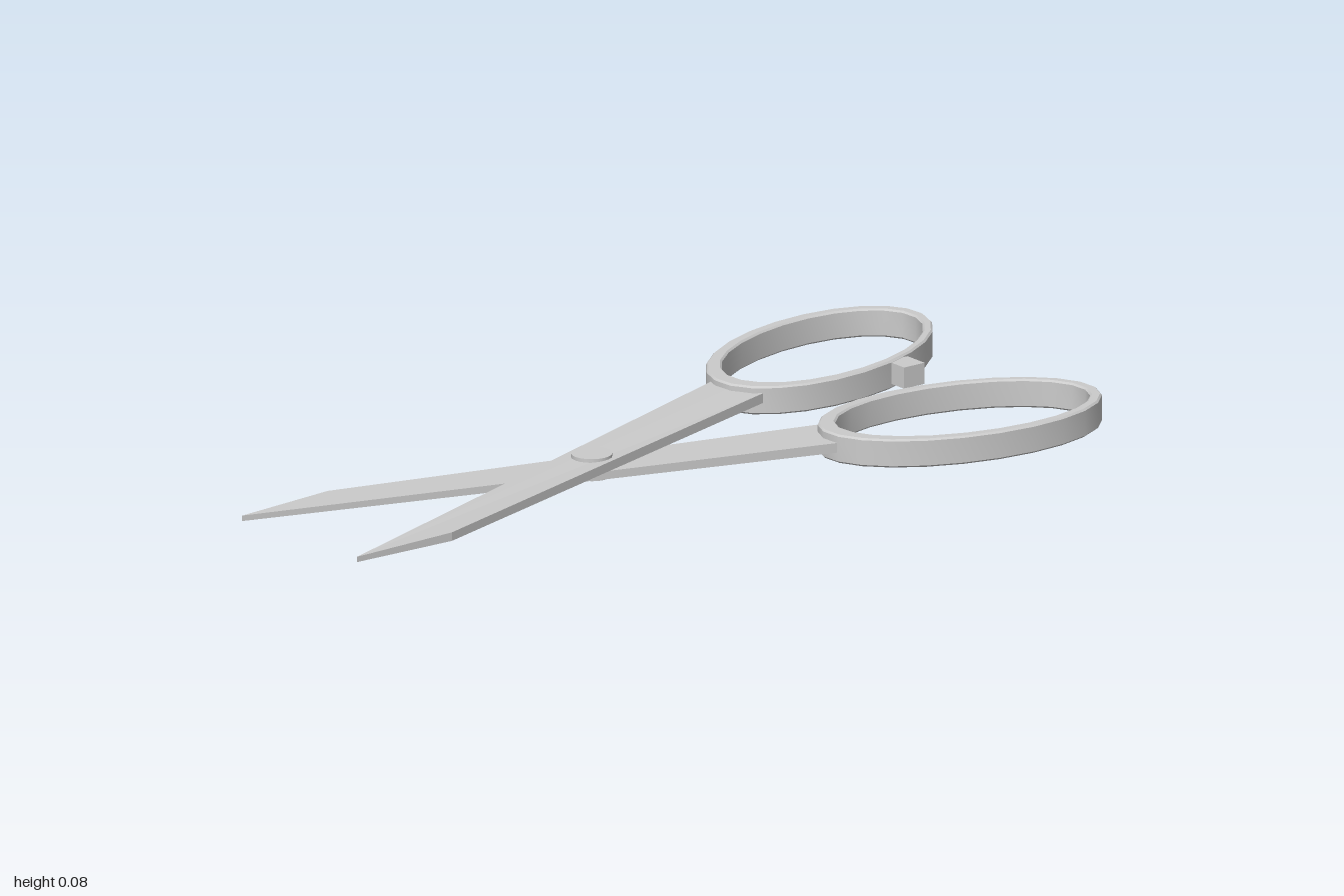
import * as THREE from 'three';
import { toCreasedNormals } from 'three/addons/utils/BufferGeometryUtils.js';

const material = new THREE.MeshStandardMaterial({ color: 0xcccccc });

function part(name, geometry) {
  const mesh = new THREE.Mesh(geometry, material);
  mesh.name = name;
  return mesh;
}

// points of a tilted ellipse; outlines are drawn in (x, -z) and laid flat afterwards
function ellipse(x, z, a, b, tilt, n = 24) {
  const c = new THREE.Vector2(x, -z);
  return Array.from({ length: n }, (_, i) => {
    const t = (i / n) * Math.PI * 2;
    return new THREE.Vector2(x + a * Math.cos(t), -z + b * Math.sin(t)).rotateAround(c, tilt);
  });
}

// finger ring: oval band with a fine chamfer on its rims
function ring(name, x, z, tilt, y0, y1) {
  const bevel = 0.004;
  const shape = new THREE.Shape(ellipse(x, z, 0.333, 0.188, tilt));
  shape.holes.push(new THREE.Path(ellipse(x + 0.008, z, 0.299, 0.164, tilt)));
  const geo = new THREE.ExtrudeGeometry(shape, {
    depth: y1 - y0 - 2 * bevel, bevelThickness: bevel, bevelSize: bevel,
    bevelOffset: -bevel, bevelSegments: 1,
  });
  geo.rotateX(-Math.PI / 2).translate(0, y0 + bevel, 0);
  return part(name, toCreasedNormals(geo, 0.6));
}

// flat blade whose outer face thins toward the tip; mid is the plane where the blades meet
function blade(name, outline, y0, y1, mid) {
  const shape = new THREE.Shape(outline.map(([x, z]) => new THREE.Vector2(x, -z)));
  const geo = new THREE.ExtrudeGeometry(shape, { depth: y1 - y0, bevelEnabled: false });
  geo.rotateX(-Math.PI / 2).translate(0, y0, 0);
  const p = geo.attributes.position;
  for (let i = 0; i < p.count; i++) {
    const k = 1 - 0.45 * THREE.MathUtils.clamp((-0.65 - p.getX(i)) / 0.35, 0, 1);
    p.setY(i, mid + (p.getY(i) - mid) * k);
  }
  geo.computeVertexNormals();
  return part(name, geo);
}

export function createModel() {
  const group = new THREE.Group();
  group.name = 'scissors';

  // upper half: blade, ring and the small stop on the ring
  group.add(blade('upperBlade',
    [[-1, 0.26], [-0.745, 0.267], [0.41, -0.1], [0.37, -0.17], [0.37, -0.235]], 0.045, 0.067, 0.045));
  group.add(ring('upperRing', 0.668, -0.248, 0.29, 0.018, 0.082));
  const stop = part('stop', new THREE.BoxGeometry(0.056, 0.048, 0.06));
  stop.position.set(0.754, 0.053, -0.056);
  group.add(stop);

  // lower half
  group.add(blade('lowerBlade',
    [[-0.99, -0.155], [-0.735, -0.18], [0.41, 0.105], [0.365, 0.17], [0.36, 0.235]], 0.023, 0.045, 0.045));
  group.add(ring('lowerRing', 0.667, 0.244, -0.18, 0, 0.064));

  // pivot rivet through both blades
  const rivet = part('rivet', new THREE.CylinderGeometry(0.045, 0.045, 0.05, 20));
  rivet.position.set(-0.17, 0.046, 0.023);
  group.add(rivet);

  return group;
}
